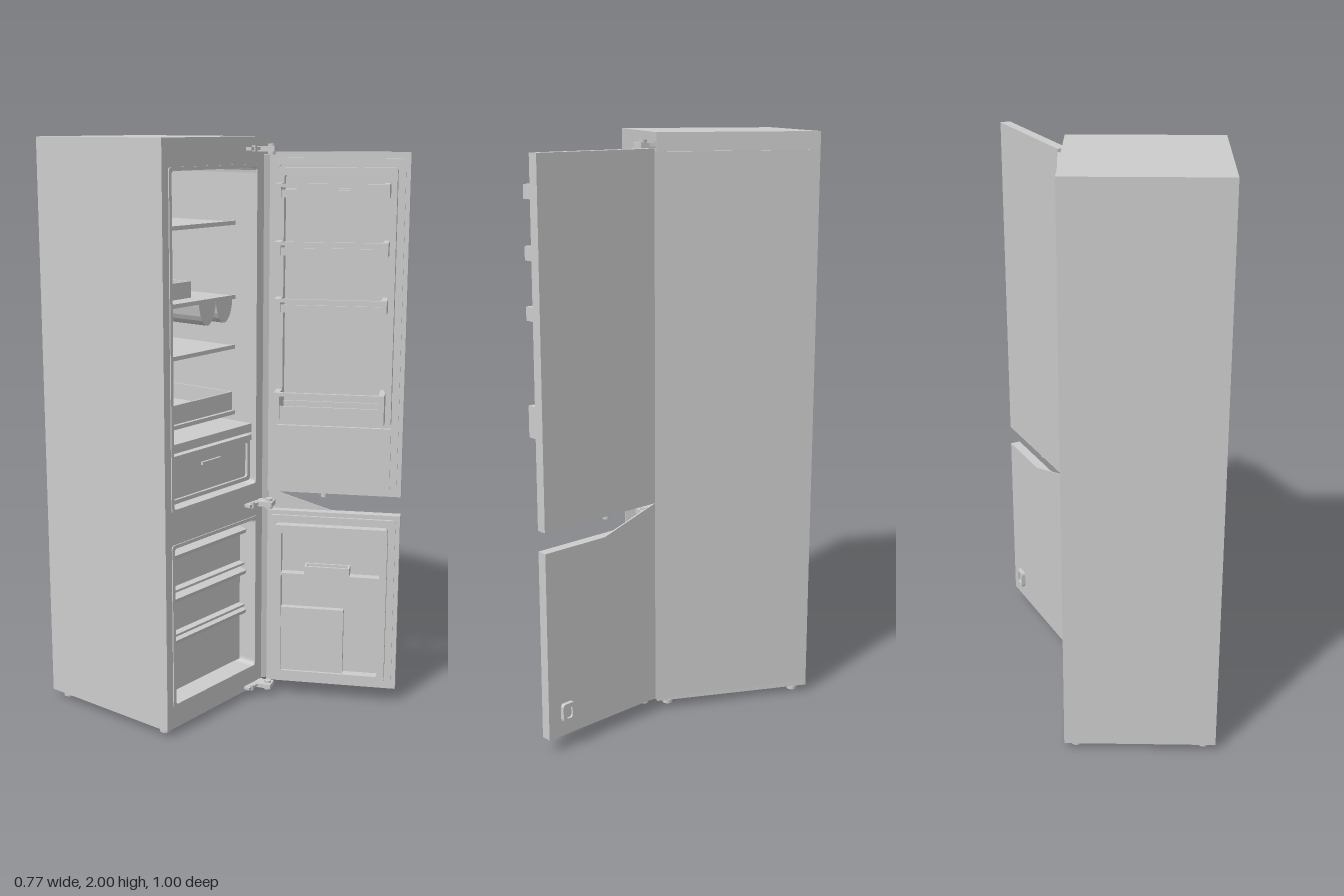
import * as THREE from 'three';

const grey = new THREE.MeshStandardMaterial({ color: 0xcccccc });
grey.name = 'light grey';

function add(parent, name, geometry) {
  const m = new THREE.Mesh(geometry, grey);
  m.name = name;
  parent.add(m);
  return m;
}

// Box given by its min and max along each axis
function box(parent, name, x0, x1, y0, y1, z0, z1) {
  const m = add(parent, name, new THREE.BoxGeometry(x1 - x0, y1 - y0, z1 - z0));
  m.position.set((x0 + x1) / 2, (y0 + y1) / 2, (z0 + z1) / 2);
  return m;
}

// Rounded rectangle outline, as a Shape or a hole Path
function roundRect(x0, x1, y0, y1, r, Kind = THREE.Shape) {
  const s = new Kind();
  s.moveTo(x0 + r, y0);
  s.lineTo(x1 - r, y0);
  s.quadraticCurveTo(x1, y0, x1, y0 + r);
  s.lineTo(x1, y1 - r);
  s.quadraticCurveTo(x1, y1, x1 - r, y1);
  s.lineTo(x0 + r, y1);
  s.quadraticCurveTo(x0, y1, x0, y1 - r);
  s.lineTo(x0, y0 + r);
  s.quadraticCurveTo(x0, y0, x0 + r, y0);
  return s;
}

function polygon(points) {
  return new THREE.Shape(points.map(([x, y]) => new THREE.Vector2(x, y)));
}

function extrude(parent, name, shape, z0, z1) {
  const g = new THREE.ExtrudeGeometry(shape, { depth: z1 - z0, bevelEnabled: false, curveSegments: 4 });
  const m = add(parent, name, g);
  m.position.z = z0;
  return m;
}

// Rectangular ring of width w
function frame(parent, name, x0, x1, y0, y1, w, z0, z1) {
  const s = roundRect(x0, x1, y0, y1, 0.012);
  s.holes.push(roundRect(x0 + w, x1 - w, y0 + w, y1 - w, 0.01, THREE.Path));
  return extrude(parent, name, s, z0, z1);
}

function cylinder(parent, name, r, x, y0, y1, z, sides = 12) {
  const m = add(parent, name, new THREE.CylinderGeometry(r, r, y1 - y0, sides));
  m.position.set(x, (y0 + y1) / 2, z);
  return m;
}

// Open-topped tray with thin walls
function tray(parent, name, x0, x1, y0, y1, z0, z1, t = 0.008) {
  const g = new THREE.Group();
  g.name = name;
  parent.add(g);
  box(g, 'trayFloor', x0, x1, y0, y0 + t, z0, z1);
  box(g, 'trayFront', x0, x1, y0, y1, z1 - t, z1);
  box(g, 'trayBack', x0, x1, y0, y1, z0, z0 + t);
  box(g, 'traySide', x0, x0 + t, y0, y1, z0, z1);
  box(g, 'traySide', x1 - t, x1, y0, y1, z0, z1);
  return g;
}

function buildCabinet(root) {
  const g = new THREE.Group();
  g.name = 'cabinet';
  root.add(g);

  // Shell with the two compartments cut out
  const front = polygon([[-0.39, 0.025], [0.13, 0.025], [0.13, 2], [-0.39, 2]]);
  front.holes.push(roundRect(-0.35, 0.09, 0.8, 1.9, 0.02, THREE.Path));
  front.holes.push(roundRect(-0.35, 0.09, 0.11, 0.67, 0.02, THREE.Path));
  extrude(g, 'cabinetShell', front, -0.42, 0.057);
  box(g, 'backWall', -0.39, 0.13, 0.025, 2, -0.5, -0.42);

  // Hinge-side panel widening towards the doors
  const side = extrude(g, 'flaredSidePanel', polygon([[0.13, 0.5], [0.13, -0.055], [0.155, -0.07]]), 0.045, 1.94);
  side.rotation.x = -Math.PI / 2;
  side.position.set(0, 0.045, 0);

  // Mouth frames
  frame(g, 'upperMouth', -0.36, 0.1, 0.79, 1.91, 0.012, 0.055, 0.061);
  frame(g, 'lowerMouth', -0.36, 0.1, 0.1, 0.68, 0.012, 0.055, 0.061);

  // Feet
  for (const x of [-0.35, 0.09]) for (const z of [-0.46, 0.01]) {
    cylinder(g, 'foot', 0.018, x, 0, 0.012, z);
    cylinder(g, 'footStem', 0.008, x, 0.01, 0.03, z, 8);
  }

  // Hinges
  for (const [y, h] of [[1.955, 0.022], [0.725, 0.022], [0.035, 0.018]]) {
    box(g, 'hingePlate', 0.03, 0.13, y, y + h * 0.5, 0.055, 0.08);
    const arm = box(g, 'hingeArm', 0.085, 0.13, y - 0.004, y + h * 0.6, 0.06, 0.12);
    arm.rotation.y = 0.35;
    cylinder(g, 'hingePin', 0.013, 0.115, y - 0.015, y + h, 0.1);
    cylinder(g, 'hingeScrew', 0.008, 0.05, y - 0.004, y + h * 0.8, 0.077, 8);
  }
}

function buildFridgeInterior(root) {
  const g = new THREE.Group();
  g.name = 'fridgeInterior';
  root.add(g);
  box(g, 'lamp', -0.25, -0.13, 1.83, 1.885, -0.42, -0.3);

  // Shelves with front trim
  for (const y of [1.71, 1.455, 1.28, 1.045]) {
    box(g, 'shelf', -0.35, 0.09, y - 0.004, y + 0.004, -0.4, -0.04);
    box(g, 'shelfTrim', -0.35, 0.09, y - 0.007, y + 0.007, -0.045, -0.035);
  }
  box(g, 'compartmentFloor', -0.35, 0.09, 0.985, 1.015, -0.42, 0.04);
  box(g, 'rearDuct', -0.3, 0.06, 1.15, 1.275, -0.42, -0.4);

  // Egg tray
  tray(g, 'eggTray', -0.345, -0.14, 1.475, 1.53, -0.33, -0.04);

  // Scalloped bottle rack under the middle shelf
  const top = [], low = [];
  for (let i = 0; i <= 20; i++) {
    const t = i / 20;
    const y = 1.448 - 0.07 * Math.pow(Math.abs(Math.sin(t * Math.PI * 2)), 0.6);
    top.push([-0.1 + 0.18 * t, y]);
    low.unshift([-0.1 + 0.18 * t, y - 0.008]);
  }
  extrude(g, 'bottleRack', polygon([...low, ...top.reverse()]), -0.35, -0.04);

  // Shallow chiller tray
  tray(g, 'chillerTray', -0.34, 0.08, 1.055, 1.12, -0.38, -0.04);

  // Crisper drawer
  tray(g, 'crisperDrawer', -0.335, 0.08, 0.81, 0.96, -0.35, 0.025);
  box(g, 'crisperTopLip', -0.345, 0.088, 0.955, 0.975, 0.015, 0.04);
  frame(g, 'crisperPanel', -0.342, 0.087, 0.81, 0.965, 0.014, 0.02, 0.035);
  box(g, 'crisperHandle', -0.17, -0.07, 0.915, 0.925, 0.02, 0.034);
}

function buildFreezerInterior(root) {
  const g = new THREE.Group();
  g.name = 'freezerInterior';
  root.add(g);
  for (const [y0, y1] of [[0.505, 0.62], [0.345, 0.465], [0.125, 0.315]]) {
    tray(g, 'freezerDrawer', -0.335, 0.075, y0, y1, -0.36, 0);
    const lip = box(g, 'drawerLip', -0.34, 0.08, y1 - 0.004, y1 + 0.01, -0.01, 0.025);
    lip.rotation.x = 0.25;
  }
  for (const y of [0.49, 0.33]) box(g, 'freezerShelf', -0.35, 0.09, y - 0.004, y + 0.004, -0.42, 0.01);
  box(g, 'freezerTopFlap', -0.34, 0.08, 0.645, 0.66, -0.4, 0.01);
}

// Door space: x runs from hinge to free edge, z from outer skin inwards
function doorGroup(root, name) {
  const g = new THREE.Group();
  g.name = name;
  g.position.set(0.155, 0, 0.07);
  g.rotation.y = -1.075;
  root.add(g);
  return g;
}

function doorRack(g, y0, y1) {
  tray(g, 'doorRack', 0.045, 0.4, y0, y0 + (y1 - y0) * 0.55, 0.04, 0.145, 0.007);
  box(g, 'rackRail', 0.035, 0.41, y1 - 0.012, y1, 0.138, 0.15);
  for (const x of [0.035, 0.39]) box(g, 'rackEnd', x, x + 0.02, y0, y1, 0.04, 0.15);
}

function buildUpperDoor(root) {
  const g = doorGroup(root, 'upperDoor');
  box(g, 'doorPanel', 0, 0.47, 0.77, 1.95, 0, 0.036);
  frame(g, 'doorGasket', 0.012, 0.455, 0.785, 1.93, 0.022, 0.036, 0.046);
  frame(g, 'doorLiner', 0.03, 0.43, 1.025, 1.9, 0.025, 0.036, 0.08);
  box(g, 'lowerLinerPanel', 0.03, 0.43, 0.8, 1.015, 0.036, 0.05);
  for (const [y0, y1] of [[1.805, 1.85], [1.615, 1.66], [1.425, 1.47], [1.045, 1.15]]) doorRack(g, y0, y1);
  cylinder(g, 'lowerHingeBush', 0.012, 0.2, 0.755, 0.772, 0.02);
}

function buildLowerDoor(root) {
  const g = doorGroup(root, 'lowerDoor');
  box(g, 'doorPanel', 0, 0.47, 0.05, 0.7, 0, 0.036);
  // Sloping web rising to the middle hinge
  extrude(g, 'hingeWeb', polygon([[0, 0.7], [0.225, 0.7], [0, 0.77]]), 0, 0.006);
  frame(g, 'doorGasket', 0.012, 0.455, 0.065, 0.685, 0.022, 0.036, 0.046);
  frame(g, 'doorLiner', 0.03, 0.43, 0.08, 0.655, 0.025, 0.036, 0.07);
  tray(g, 'iceTray', 0.14, 0.3, 0.48, 0.51, 0.036, 0.08);
  box(g, 'linerShelf', 0.05, 0.41, 0.47, 0.477, 0.036, 0.07);
  box(g, 'linerBlock', 0.05, 0.28, 0.1, 0.345, 0.036, 0.06);
  // Small framed plate on the outer skin
  frame(g, 'outerPlate', 0.37, 0.42, 0.1, 0.165, 0.012, -0.014, 0.001);
  box(g, 'outerPlateCentre', 0.38, 0.41, 0.11, 0.155, -0.006, 0.001);
}

export function createModel() {
  const root = new THREE.Group();
  root.name = 'refrigerator';
  buildCabinet(root);
  buildFridgeInterior(root);
  buildFreezerInterior(root);
  buildUpperDoor(root);
  buildLowerDoor(root);
  return root;
}
